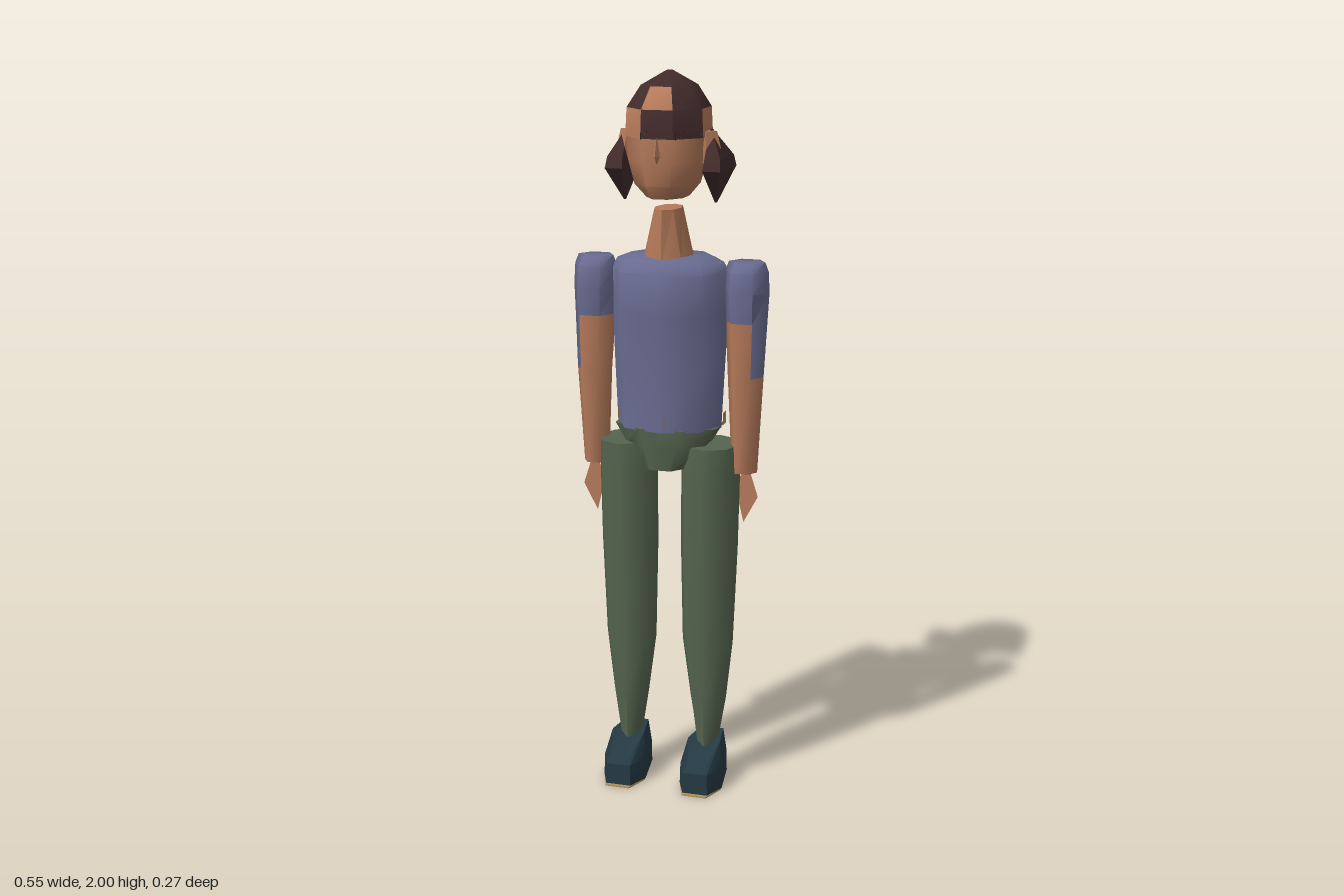
import * as THREE from 'three';
import { toCreasedNormals } from 'three/addons/utils/BufferGeometryUtils.js';

const mat = (name, color, side = THREE.FrontSide) => {
  const m = new THREE.MeshStandardMaterial({ color, side });
  m.name = name;
  return m;
};

// Horizontal ring of n points around (cx, cz)
const ring = (n, y, cx, cz, rx, rz, turn = 0) =>
  Array.from({ length: n }, (_, i) => {
    const a = (i / n) * Math.PI * 2 + turn;
    return [cx + Math.cos(a) * rx, y, cz + Math.sin(a) * rz];
  });

// Closed loft through rings from bottom to top; pick(level, facet) chooses a material index
function loft(rings, crease = 0.9, pick = () => 0) {
  const pos = [], index = [], n = rings[0].length;
  const geo = new THREE.BufferGeometry();
  rings.forEach(r => r.forEach(p => pos.push(...p)));
  for (let j = 0; j < rings.length - 1; j++) {
    for (let i = 0; i < n; i++) {
      const a = j * n + i, b = j * n + (i + 1) % n;
      geo.addGroup(index.length, 6, pick(j, i));
      index.push(a, a + n, b, b, a + n, b + n);
    }
  }
  const start = index.length;
  for (const top of [false, true]) {
    const r = top ? rings[rings.length - 1] : rings[0];
    const base = pos.length / 3;
    r.forEach(p => pos.push(...p));
    pos.push(...[0, 1, 2].map(k => r.reduce((s, p) => s + p[k], 0) / n));
    for (let i = 0; i < n; i++) {
      const a = base + i, b = base + (i + 1) % n;
      index.push(base + n, top ? b : a, top ? a : b);
    }
  }
  geo.addGroup(start, index.length - start, pick(rings.length - 1, 0));
  geo.setAttribute('position', new THREE.Float32BufferAttribute(pos, 3));
  geo.setIndex(index);
  return toCreasedNormals(geo, crease);
}

export function createModel() {
  const model = new THREE.Group();
  const skin = mat('skin', 0xb57a5a), hair = mat('hair', 0x422b2b);
  const shirt = mat('shirt', 0x686b8f), trousers = mat('trousers', 0x55654f);
  const shoe = mat('shoe', 0x253a44), brass = mat('brass', 0xb3925a);
  const eyeBlue = mat('eye blue', 0x6f8cab), dark = mat('eye dark', 0x2a2024);
  const lip = mat('lip', 0x8a5c55);
  const skinSheet = mat('skin sheet', 0xb57a5a, THREE.DoubleSide);

  const add = (name, geo, material) => {
    const m = new THREE.Mesh(geo, Array.isArray(material) ? material : [material]);
    if (!geo.groups.length) m.material = material;
    m.name = name;
    model.add(m);
    return m;
  };
  const box = (name, w, h, d, x, y, z, material) =>
    add(name, new THREE.BoxGeometry(w, h, d), material).position.set(x, y, z);

  // Torso, hips and neck
  add('torso', loft([
    ring(8, 1.04, 0, -0.008, 0.148, 0.108), ring(8, 1.2, 0, -0.01, 0.156, 0.1),
    ring(8, 1.36, 0, -0.015, 0.164, 0.118), ring(8, 1.47, 0, -0.015, 0.166, 0.12),
    ring(8, 1.497, 0, -0.017, 0.15, 0.1), ring(8, 1.513, 0, -0.017, 0.11, 0.078),
  ]), shirt);
  add('hips', loft([
    ring(8, 0.93, 0, -0.01, 0.078, 0.1, Math.PI / 8), ring(8, 0.99, 0, -0.01, 0.12, 0.105, Math.PI / 8),
    ring(8, 1.045, 0, -0.01, 0.155, 0.105, Math.PI / 8),
  ]), trousers);
  add('neck', loft([
    ring(8, 1.49, 0, -0.005, 0.074, 0.075), ring(8, 1.64, 0, 0, 0.037, 0.066),
  ]), skin);

  // Belt studs
  box('frontStud', 0.034, 0.034, 0.012, 0, 1.068, 0.1, brass);
  box('backStud', 0.034, 0.034, 0.012, 0, 1.068, -0.118, brass);
  for (const s of [-1, 1]) box('sideStud', 0.012, 0.034, 0.034, s * 0.15, 1.068, -0.01, brass);

  // Head: tapered jaw, with the faceted hair cap above it
  const t = Math.PI / 8;
  add('head', loft([
    ring(8, 1.67, 0, 0.005, 0.055, 0.08, t), ring(8, 1.705, 0, 0.008, 0.087, 0.1, t),
    ring(8, 1.77, 0, 0.006, 0.106, 0.11, t), ring(8, 1.84, 0, 0.0, 0.113, 0.116, t),
  ]), skin);
  const bare = new Set(['1,0', '1,1', '0,2', '0,7']);
  add('hairCap', loft([
    ring(8, 1.83, 0, -0.006, 0.116, 0.125, t), ring(8, 1.905, 0, -0.006, 0.112, 0.122, t),
    ring(8, 1.962, 0, -0.008, 0.075, 0.085, t), ring(8, 2.0, 0, -0.01, 0.008, 0.012, t),
  ], 0.7, (j, i) => (bare.has(`${j},${i}`) && !(j === 1 && i === 0) ? 1 : 0)), [hair, skin]);

  // Face
  for (const s of [-1, 1]) {
    box('eye', 0.042, 0.02, 0.004, s * 0.05, 1.838, 0.116, eyeBlue);
    box('pupil', 0.014, 0.02, 0.004, s * 0.048, 1.838, 0.118, dark);
    box('brow', 0.05, 0.007, 0.004, s * 0.05, 1.852, 0.117, dark);
    // Ear
    add('ear', loft([
      ring(4, 1.76, s * 0.1, 0, 0.012, 0.012), ring(4, 1.8, s * 0.112, 0, 0.032, 0.032),
      ring(4, 1.845, s * 0.108, 0, 0.025, 0.025),
    ], 0.3), skin);
    // Side lock of hair
    const q = Math.PI / 4;
    add('sideLock', loft([
      ring(4, 1.655, s * 0.127, -0.015, 0.003, 0.005, q),
      ring(4, 1.745, s * 0.134, -0.022, 0.034, 0.12, q),
      ring(4, 1.775, s * 0.134, -0.02, 0.03, 0.1, q),
      ring(4, 1.85, s * 0.115, -0.01, 0.003, 0.005, q),
    ], 0.3), hair);
  }
  add('nose', loft([
    ring(3, 1.765, 0, 0.103, 0.006, 0.006, Math.PI / 2), ring(3, 1.785, 0, 0.107, 0.016, 0.017, Math.PI / 2),
    ring(3, 1.835, 0, 0.104, 0.005, 0.006, Math.PI / 2),
  ], 0.3), skin);
  box('mouth', 0.06, 0.012, 0.006, 0, 1.743, 0.103, lip);

  for (const s of [-1, 1]) {
    // Arm: sleeve with bare facets on its inner lower half, then the forearm
    const outer = s > 0 ? [0, 5] : [2, 3];
    add('arm', loft([
      ring(6, 0.92, s * 0.213, -0.013, 0.036, 0.038), ring(6, 1.19, s * 0.215, -0.008, 0.05, 0.052),
      ring(6, 1.34, s * 0.214, -0.015, 0.058, 0.062), ring(6, 1.42, s * 0.213, -0.018, 0.063, 0.072),
      ring(6, 1.475, s * 0.213, -0.019, 0.06, 0.065), ring(6, 1.5, s * 0.213, -0.02, 0.05, 0.046),
    ], 1.1, (j, i) => (j === 0 || (j === 1 && !outer.includes(i)) ? 1 : 0)), [shirt, skin]);
    // Flat hand
    const hand = new THREE.Shape([[0.212, 0.775], [0.252, 0.85], [0.225, 0.935], [0.197, 0.9], [0.196, 0.84]]
      .map(([x, y]) => new THREE.Vector2(s * x, y)));
    add('hand', new THREE.ShapeGeometry(hand), skinSheet).position.z = -0.012;

    // Trouser leg
    add('leg', loft([
      ring(8, 0.11, s * 0.113, -0.013, 0.029, 0.046), ring(8, 0.25, s * 0.114, -0.012, 0.052, 0.055),
      ring(8, 0.42, s * 0.112, -0.01, 0.073, 0.064), ring(8, 0.7, s * 0.115, -0.01, 0.082, 0.078),
      ring(8, 0.93, s * 0.118, -0.01, 0.084, 0.086), ring(8, 0.995, s * 0.121, -0.01, 0.08, 0.088),
    ]), trousers);

    // Shoe: outline from heel to toe, sloping down at the front
    const outline = (w, back, mid, toe, yBack, yMid, yToe) => [
      [w, yMid, mid], [w * 0.58, yToe, toe], [-w * 0.58, yToe, toe],
      [-w, yMid, mid], [-w * 0.7, yBack, back], [w * 0.7, yBack, back],
    ].map(([x, y, z]) => [s * 0.113 + x, y, z]);
    add('shoe', loft([
      outline(0.062, -0.065, 0.06, 0.122, 0.004, 0.004, 0.004),
      outline(0.06, -0.066, 0.06, 0.122, 0.065, 0.065, 0.065),
      outline(0.047, -0.062, 0.025, 0.1, 0.132, 0.13, 0.085),
    ], 0.7), shoe);
    add('sole', loft([
      outline(0.06, -0.062, 0.065, 0.132, 0, 0, 0), outline(0.06, -0.062, 0.065, 0.132, 0.004, 0.004, 0.004),
    ], 0.3), brass);
  }
  return model;
}
